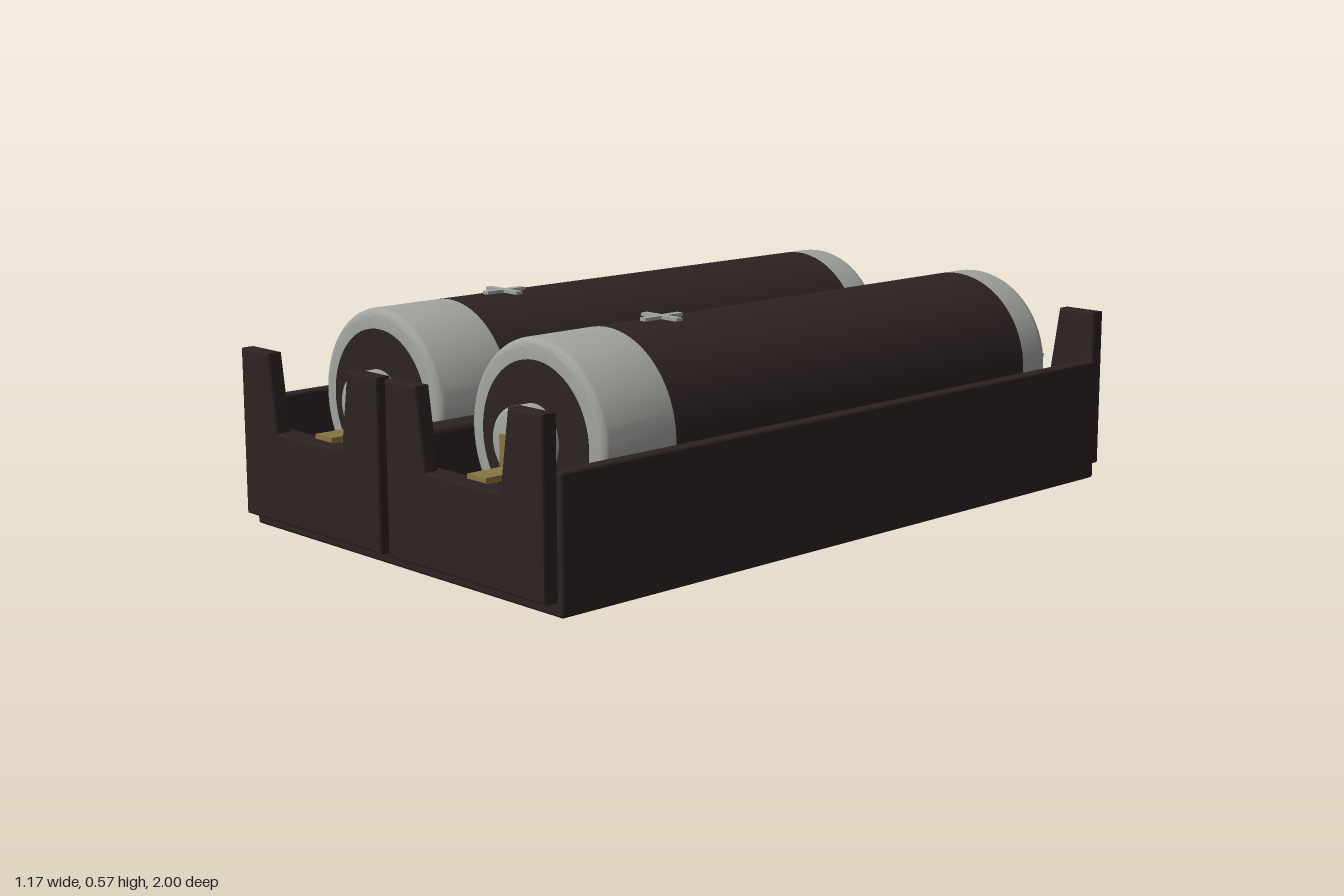
import * as THREE from 'three';
import { toCreasedNormals } from 'three/addons/utils/BufferGeometryUtils.js';
import { RoundedBoxGeometry } from 'three/addons/geometries/RoundedBoxGeometry.js';

const material = (name, color) => {
  const m = new THREE.MeshStandardMaterial({ color });
  m.name = name;
  return m;
};

export function createModel() {
  const dark = material('dark plastic', 0x2d2222);
  const silver = material('silver metal', 0xa0a39e);
  const brass = material('brass', 0x8a7344);

  const model = new THREE.Group();
  model.name = 'batteryHolder';

  const add = (parent, name, geometry, mat, x = 0, y = 0, z = 0) => {
    const mesh = new THREE.Mesh(geometry, mat);
    mesh.name = name;
    mesh.position.set(x, y, z);
    parent.add(mesh);
    return mesh;
  };
  const box = (w, h, d) => new RoundedBoxGeometry(w, h, d, 2, Math.min(w, h, d) * 0.2);

  // Solid of revolution along z from [radius, z] pairs, ordered back to front
  const lathe = (pairs) => {
    const g = new THREE.LatheGeometry(pairs.map(([r, z]) => new THREE.Vector2(r, z)), 64);
    g.rotateX(Math.PI / 2);
    return toCreasedNormals(g, 0.6);
  };

  // Quarter-round corner points in [radius, z]
  const corner = (r, z, size, from, to) => {
    const pts = [];
    for (let i = 0; i <= 6; i++) {
      const a = from + ((to - from) * i) / 6;
      pts.push([r + size * Math.cos(a), z + size * Math.sin(a)]);
    }
    return pts;
  };

  // Open tray
  const tray = new THREE.Group();
  tray.name = 'tray';
  model.add(tray);
  add(tray, 'floor', box(1.17, 0.05, 1.92), dark, 0, 0.025, 0);
  for (const s of [-1, 1]) {
    add(tray, 'sideWall', box(0.036, 0.325, 1.92), dark, s * 0.567, 0.1625, 0);
    add(tray, 'endWall', box(1.16, 0.255, 0.036), dark, 0, 0.1275, s * 0.942);
  }
  add(tray, 'divider', box(0.08, 0.31, 1.92), dark, 0, 0.17, 0);

  // Notched end plates
  const outline = new THREE.Shape([
    [-0.278, 0.035], [0.278, 0.035], [0.278, 0.455], [0.163, 0.455],
    [0.133, 0.26], [-0.133, 0.26], [-0.163, 0.455], [-0.278, 0.455],
  ].map(([x, y]) => new THREE.Vector2(x, y)));
  const bevel = 0.006;
  const plate = new THREE.ExtrudeGeometry(outline, {
    depth: 0.042 - 2 * bevel, bevelEnabled: true, bevelSize: bevel,
    bevelThickness: bevel, bevelOffset: -bevel, bevelSegments: 2,
  });
  plate.translate(0, 0, bevel - 0.021);

  // Cell profiles
  const R = 0.235;
  const sleeve = lathe([[R, -0.71], [R, 0.565]]);
  const frontCap = lathe([
    [R, 0.565], ...corner(R - 0.022, 0.763, 0.022, 0, Math.PI / 2), [0.18, 0.785],
  ]);
  const rearCap = lathe([
    [0, -0.836], [0.165, -0.836], [0.172, -0.82],
    ...corner(R - 0.035, -0.785, 0.035, -Math.PI / 2, 0), [R, -0.71],
  ]);
  const insulator = lathe([[0.185, 0.783], [0.185, 0.787], [0, 0.787]]);
  const terminal = lathe([
    [0.085, 0.785], ...corner(0.07, 0.832, 0.015, 0, Math.PI / 2), [0, 0.847],
  ]);

  // Tapered coil spring, widest at the rear wall
  const coil = [];
  const turns = 5;
  const steps = turns * 16;
  for (let i = 0; i <= steps; i++) {
    const t = i / steps;
    const a = t * turns * Math.PI * 2;
    const r = 0.072 + 0.035 * t;
    coil.push(new THREE.Vector3(r * Math.cos(a), r * Math.sin(a), -0.842 - 0.115 * t));
  }
  const spring = new THREE.TubeGeometry(new THREE.CatmullRomCurve3(coil), 240, 0.008, 8);

  // Two bays, each with a cell, its contacts and its end plates
  for (const s of [-1, 1]) {
    const bay = new THREE.Group();
    bay.name = s > 0 ? 'leftBay' : 'rightBay';
    bay.position.x = s * 0.293;
    model.add(bay);
    add(bay, 'frontPlate', plate, dark, 0, 0, 0.979);
    add(bay, 'rearPlate', plate, dark, 0, 0, -0.979);

    const cell = new THREE.Group();
    cell.name = 'cell';
    cell.position.y = 0.325;
    bay.add(cell);
    add(cell, 'sleeve', sleeve, dark);
    add(cell, 'frontCap', frontCap, silver);
    add(cell, 'rearCap', rearCap, silver);
    add(cell, 'insulatorDisc', insulator, dark);
    add(cell, 'terminal', terminal, silver);
    add(cell, 'plusAcross', new THREE.BoxGeometry(0.122, 0.008, 0.02), silver, 0, 0.239, 0.388);
    add(cell, 'plusAlong', new THREE.BoxGeometry(0.02, 0.008, 0.122), silver, 0, 0.239, 0.388);
    add(cell, 'spring', spring, silver);

    // Bent brass contact
    add(bay, 'contactTab', new THREE.BoxGeometry(0.066, 0.09, 0.014), brass, 0, 0.3, 0.856);
    add(bay, 'contactFoot', new THREE.BoxGeometry(0.066, 0.014, 0.106), brass, 0, 0.262, 0.904);
  }
  return model;
}
